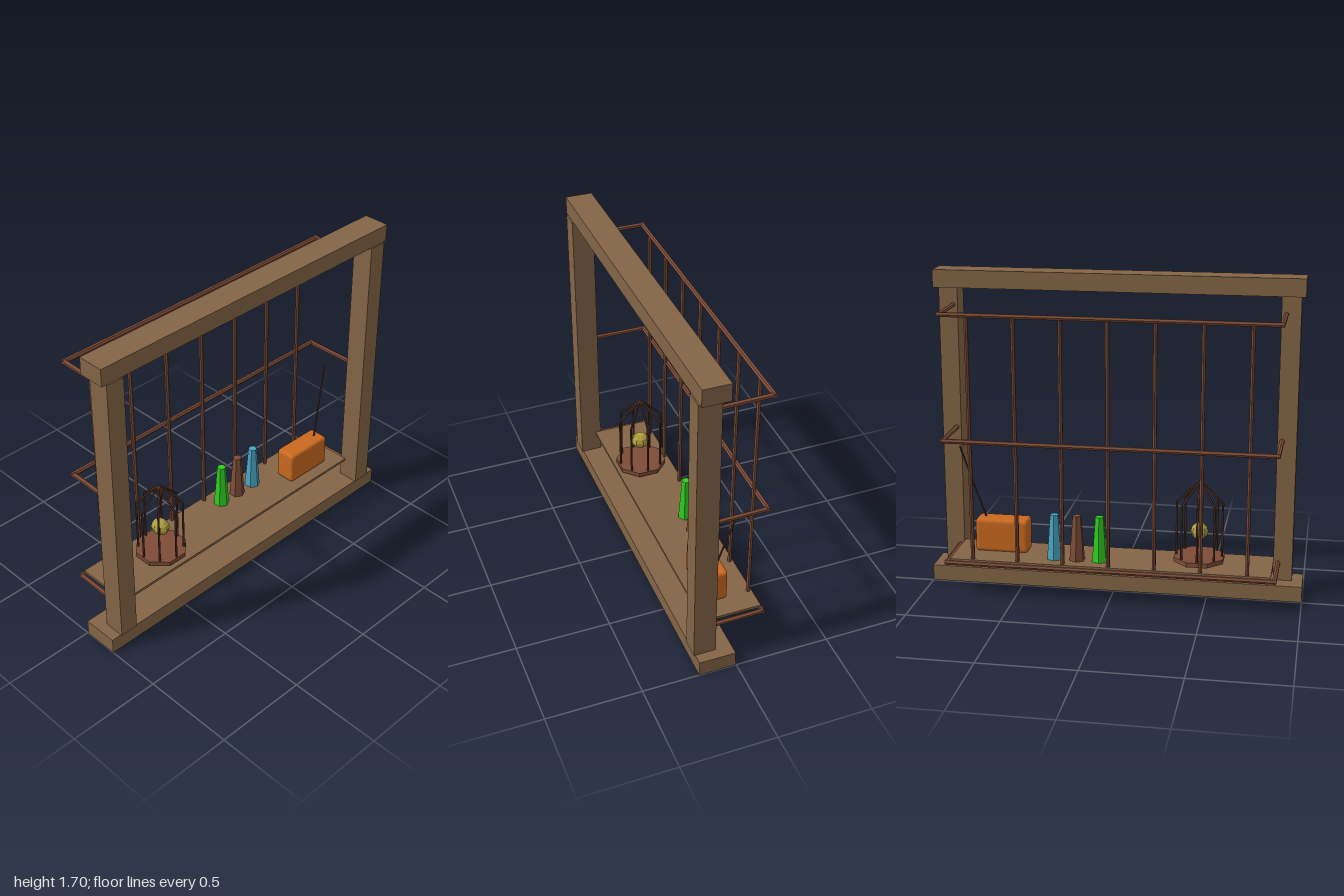
import * as THREE from 'three';
import { RoundedBoxGeometry } from 'three/addons/geometries/RoundedBoxGeometry.js';

const mat = (name, color) => {
  const m = new THREE.MeshStandardMaterial({ color, flatShading: true });
  m.name = name;
  return m;
};

export function createModel() {
  const model = new THREE.Group();
  model.name = 'windowBalcony';
  const wood = mat('wood', 0x846546);
  const rust = mat('rustBrown', 0x7d4c37);
  const dark = mat('darkBrown', 0x523224);
  const orange = mat('orange', 0xcb6a20);
  const green = mat('green', 0x2fcc20);
  const blue = mat('blue', 0x4aa5c3);
  const yellow = mat('yellow', 0xb0a040);

  const add = (name, geo, material, parent = model) => {
    const mesh = new THREE.Mesh(geo, material);
    mesh.name = name;
    parent.add(mesh);
    return mesh;
  };
  // Box given by its limits on each axis
  const box = (name, [x0, x1], [y0, y1], [z0, z1], material) => {
    const b = add(name, new THREE.BoxGeometry(x1 - x0, y1 - y0, z1 - z0), material);
    b.position.set((x0 + x1) / 2, (y0 + y1) / 2, (z0 + z1) / 2);
    return b;
  };
  // Straight rod between two points
  const rod = (name, a, b, r, material, parent = model, sides = 6) => {
    const p = new THREE.Vector3(...a), q = new THREE.Vector3(...b);
    const d = q.clone().sub(p);
    const m = add(name, new THREE.CylinderGeometry(r, r, d.length(), sides), material, parent);
    m.position.copy(p).add(q).multiplyScalar(0.5);
    m.quaternion.setFromUnitVectors(new THREE.Vector3(0, 1, 0), d.normalize());
    return m;
  };

  // Wooden window frame
  box('sill', [-1, 1], [0, 0.085], [0.005, 0.2], wood);
  box('topBeam', [-0.965, 0.965], [1.607, 1.7], [0.057, 0.2], wood);
  box('rightPost', [-0.943, -0.843], [0.085, 1.607], [0.09, 0.207], wood);
  box('leftPost', [0.843, 0.943], [0.085, 1.607], [0.09, 0.207], wood);

  // Balcony floor
  box('floorBoard', [-0.845, 0.845], [0.19, 0.205], [-0.195, 0.12], wood);

  // Rails wrapping round the back
  for (const y of [0.183, 0.85, 1.512]) {
    const rail = new THREE.Group();
    rail.name = 'rail';
    model.add(rail);
    rod('railBack', [-0.873, y, -0.195], [0.873, y, -0.195], 0.013, rust, rail);
    for (const s of [-1, 1])
      rod('railSide', [s * 0.863, y, -0.2], [s * 0.868, y, 0.12], 0.013, rust, rail);
  }

  // Upright bars
  for (let i = -3; i <= 3; i++)
    rod('uprightBar', [i * 0.241, 0.2, -0.177], [i * 0.241, 1.512, -0.188], 0.011, rust);

  // Bird cage
  const cage = new THREE.Group();
  cage.name = 'birdCage';
  cage.position.set(-0.46, 0, -0.025);
  model.add(cage);
  const base = add('cageBase', new THREE.CylinderGeometry(0.14, 0.14, 0.024, 8), rust, cage);
  base.position.y = 0.232;
  base.rotation.y = Math.PI / 8;
  for (let i = 0; i < 8; i++) {
    const a = i * Math.PI / 4, x = 0.12 * Math.cos(a), z = 0.12 * Math.sin(a);
    rod('cageBar', [x, 0.235, z], [x, 0.535, z], 0.006, dark, cage, 5);
    rod('cageRoofBar', [x, 0.535, z], [0, 0.65, 0], 0.006, dark, cage, 5);
  }
  const bird = add('bird', new THREE.SphereGeometry(0.046, 8, 6), yellow, cage);
  bird.position.y = 0.378;
  bird.scale.z = 1.15;

  // Row of tapered bottles
  [[0.057, green], [0.178, rust], [0.298, blue]].forEach(([x, m]) => {
    const bottle = add('bottle', new THREE.CylinderGeometry(0.024, 0.043, 0.245, 6), m);
    bottle.position.set(x, 0.3275, -0.097);
  });

  // Radio with aerial
  const radio = add('radio', new RoundedBoxGeometry(0.285, 0.18, 0.117, 2, 0.018), orange);
  radio.position.set(0.598, 0.295, 0.002);
  rod('aerial', [0.69, 0.37, 0.005], [0.815, 0.782, -0.046], 0.005, dark, model, 5);

  return model;
}
